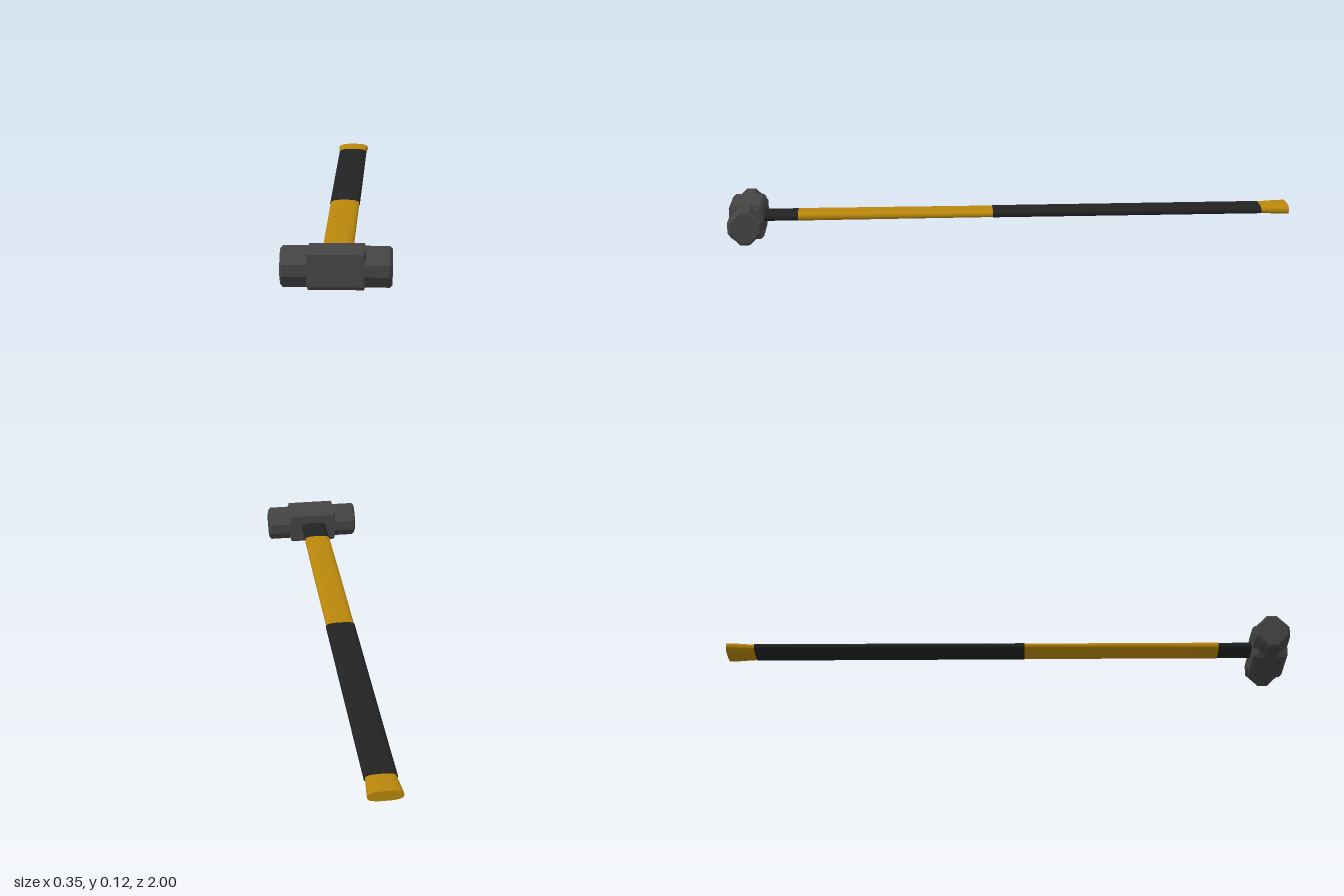
import * as THREE from 'three';

const mat = (color) => new THREE.MeshStandardMaterial({ color });
const SIDES = 32, HANDLE_X = -0.003, HANDLE_Y = 0.066;

// Flattened oval bar lofted through stations [z, halfWidth, halfHeight], z rising
function loftBar(stations) {
  const pos = [], idx = [];
  const ring = ([z, w, h]) => {
    const start = pos.length / 3;
    for (let i = 0; i < SIDES; i++) {
      const a = (i / SIDES) * Math.PI * 2, c = Math.cos(a), s = Math.sin(a);
      pos.push(w * Math.sign(c) * Math.abs(c) ** 0.7, h * Math.sign(s) * Math.abs(s) ** 0.7, z);
    }
    return start;
  };
  const rings = stations.map(ring);
  for (let k = 0; k + 1 < rings.length; k++) {
    for (let i = 0; i < SIDES; i++) {
      const j = (i + 1) % SIDES, a = rings[k], b = rings[k + 1];
      idx.push(a + i, a + j, b + j, a + i, b + j, b + i);
    }
  }
  // End caps with their own vertices so the rims stay sharp
  const first = ring(stations[0]), last = ring(stations[stations.length - 1]);
  for (let i = 1; i + 1 < SIDES; i++) {
    idx.push(first, first + i + 1, first + i, last, last + i, last + i + 1);
  }
  const geo = new THREE.BufferGeometry();
  geo.setAttribute('position', new THREE.Float32BufferAttribute(pos, 3));
  geo.setIndex(idx);
  geo.computeVertexNormals();
  return geo;
}

// Square bar with cut corners, running along x, with bevelled ends
function cutBar(halfLength, cut, bevelThickness, bevelSize) {
  const hz = 0.06, hy = 0.062;
  const shape = new THREE.Shape([
    [hz, cut - hy], [hz, hy - cut], [hz - cut, hy], [cut - hz, hy],
    [-hz, hy - cut], [-hz, cut - hy], [cut - hz, -hy], [hz - cut, -hy],
  ].map(([x, y]) => new THREE.Vector2(x, y)));
  const depth = 2 * (halfLength - bevelThickness);
  const geo = new THREE.ExtrudeGeometry(shape, {
    depth, bevelEnabled: true, bevelThickness, bevelSize, bevelOffset: -bevelSize, bevelSegments: 1,
  });
  return geo.translate(0, 0, -depth / 2).rotateY(Math.PI / 2);
}

export function createModel() {
  const model = new THREE.Group();
  const steel = mat(0x444444), rubber = mat(0x222222), yellow = mat(0xb8860b);
  const add = (parent, name, geo, material) => {
    const mesh = new THREE.Mesh(geo, material);
    mesh.name = name;
    parent.add(mesh);
  };

  // Head: eight-sided striking bar through a squarer middle block
  const head = new THREE.Group();
  head.name = 'head';
  head.position.set(0, 0.062, 0.94);
  add(head, 'strikingFaces', cutBar(0.173, 0.043, 0.008, 0.008), steel);
  add(head, 'middleBlock', cutBar(0.092, 0.011, 0.006, 0.017), steel);
  model.add(head);

  // Handle: flat oval shaft with collar, grip and flared end
  const handle = new THREE.Group();
  handle.name = 'handle';
  handle.position.set(HANDLE_X, HANDLE_Y, 0);
  add(handle, 'collar', loftBar([[0.76, 0.048, 0.0165], [0.92, 0.047, 0.0165]]), rubber);
  add(handle, 'shaft', loftBar([[0.06, 0.051, 0.0145], [0.5, 0.05, 0.016], [0.762, 0.0485, 0.017]]), yellow);
  add(handle, 'grip', loftBar([[-0.9, 0.055, 0.0155], [0.068, 0.053, 0.0155]]), rubber);
  add(handle, 'flaredEnd', loftBar([
    [-1, 0.059, 0.0185], [-0.97, 0.057, 0.0185], [-0.93, 0.053, 0.0165], [-0.89, 0.05, 0.0145],
  ]), yellow);
  model.add(handle);

  return model;
}
